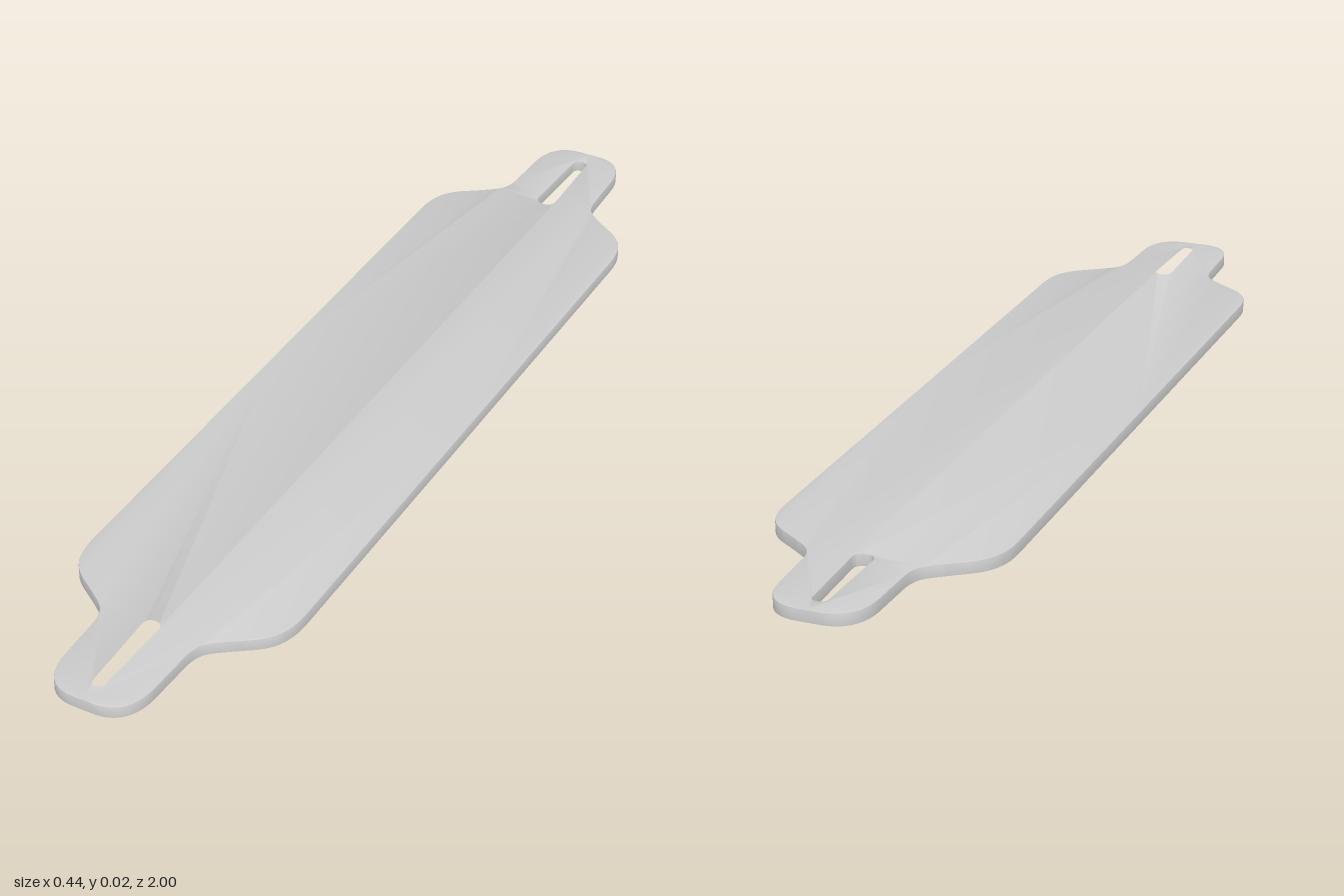
import * as THREE from 'three';
import { toCreasedNormals } from 'three/addons/utils/BufferGeometryUtils.js';

const THICKNESS = 0.023;
const BEVEL = 0.002;

// One quarter of the outline, from the tip of the nose to the middle of the side
function quarterOutline() {
  const path = new THREE.Path();
  path.moveTo(0, 1);
  path.lineTo(0.02, 1);
  path.bezierCurveTo(0.065, 1, 0.088, 0.97, 0.09, 0.92); // rounded tip
  path.lineTo(0.093, 0.83);
  path.bezierCurveTo(0.095, 0.785, 0.11, 0.78, 0.14, 0.757); // neck
  path.lineTo(0.172, 0.735);
  path.bezierCurveTo(0.2, 0.715, 0.219, 0.69, 0.219, 0.63); // shoulder
  path.lineTo(0.219, 0);
  return path.getPoints(10);
}

// Mirror the quarter into the closed outline
function deckOutline() {
  const q = quarterOutline();
  const flip = (pts, sx, sy) => pts.map((p) => new THREE.Vector2(p.x * sx, p.y * sy));
  const right = [...q, ...flip(q, 1, -1).reverse().slice(1)];
  const left = flip(right, -1, 1).reverse().slice(1, -1);
  return new THREE.Shape([...right, ...left]);
}

// Tapered, round-ended truck slot; end is +1 or -1
function slot(end) {
  const hole = new THREE.Path();
  const [inner, outer, wide, narrow] = [0.77, 0.963, 0.019, 0.014];
  hole.moveTo(-wide, end * (inner + 0.02));
  hole.quadraticCurveTo(-wide, end * inner, 0, end * inner);
  hole.quadraticCurveTo(wide, end * inner, wide, end * (inner + 0.02));
  hole.lineTo(narrow, end * (outer - 0.015));
  hole.quadraticCurveTo(narrow, end * outer, 0, end * outer);
  hole.quadraticCurveTo(-narrow, end * outer, -narrow, end * (outer - 0.015));
  hole.closePath();
  return hole;
}

export function createModel() {
  const shape = deckOutline();
  shape.holes.push(slot(1), slot(-1));

  let geometry = new THREE.ExtrudeGeometry(shape, {
    depth: THICKNESS - 2 * BEVEL,
    bevelEnabled: true,
    bevelThickness: BEVEL,
    bevelSize: BEVEL,
    bevelOffset: -BEVEL,
    bevelSegments: 2,
    curveSegments: 8,
  });
  geometry.rotateX(-Math.PI / 2);
  geometry.translate(0, BEVEL, 0);

  // Only the upper edge is eased: press the lower bevel flat
  const pos = geometry.attributes.position;
  for (let i = 0; i < pos.count; i++) {
    if (pos.getY(i) < BEVEL * 1.01) pos.setY(i, 0);
  }
  geometry = toCreasedNormals(geometry, 0.6);

  const deck = new THREE.Mesh(geometry, new THREE.MeshStandardMaterial({ color: 0xcccccc }));
  deck.name = 'deck';
  const group = new THREE.Group();
  group.name = 'longboardDeck';
  group.add(deck);
  return group;
}
